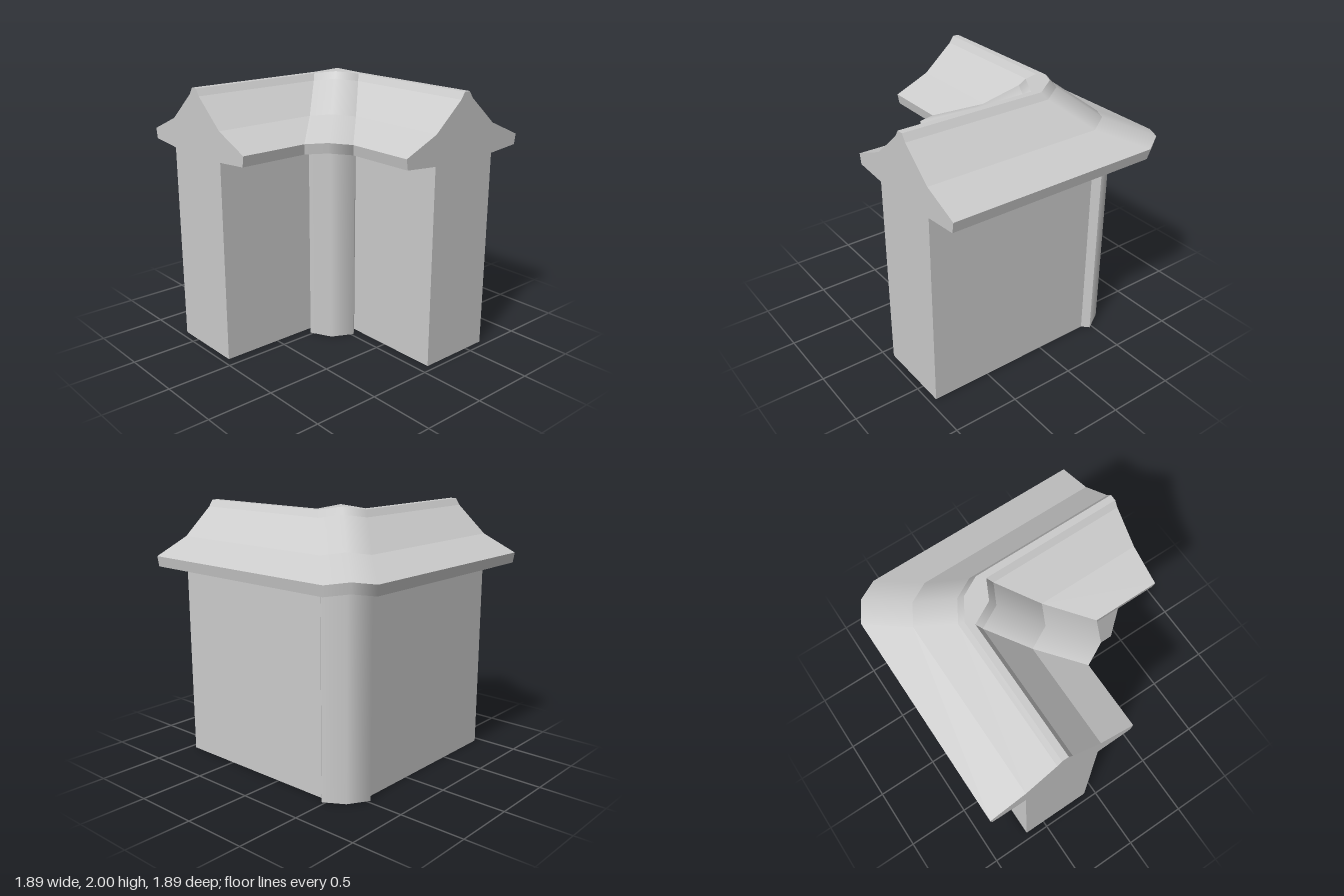
import * as THREE from 'three';

const END = 0.95, MID = 0.37, SPREAD = 0.24;

// Plan position of profile point (u, y) at one of five stations round the corner:
// 0 left end, 1 left mitre, 2 corner diagonal, 3 front mitre, 4 front end
function at([u, y], k) {
  if (k === 0) return [-END, y, -u];
  if (k === 1) return [u - SPREAD, y, -u];
  if (k === 3) return [u, y, SPREAD - u];
  if (k === 4) return [u, y, END];
  const d = u - (u > MID ? 0.09 : 0.16);
  return [d, y > 1.45 ? y + 0.025 : y, -d];
}

// Normal at a station: sharp across the profile, smooth round the corner
function normalAt(nu, ny, k, corner) {
  let x = k < 2 ? 0 : 1, z = k < 2 ? -1 : 0;
  if (k === 2) { x = Math.SQRT1_2; z = -Math.SQRT1_2; }
  if (corner && nu < 0) [x, z] = [-z, -x]; // inner side bulges outwards
  return [nu * x, ny, nu * z];
}

// Sweep a closed counter-clockwise profile through stations and cap chosen ends
function sweep(name, profile, from, to, caps, material) {
  const pos = [], nor = [];
  profile.forEach((a, i) => {
    const b = profile[(i + 1) % profile.length];
    const len = Math.hypot(b[0] - a[0], b[1] - a[1]);
    const nu = (b[1] - a[1]) / len, ny = (a[0] - b[0]) / len;
    for (let k = from; k < to; k++) {
      const corner = k === 1 || k === 2;
      for (const [p, s] of [[a, k], [b, k], [b, k + 1], [a, k], [b, k + 1], [a, k + 1]]) {
        pos.push(...at(p, s));
        nor.push(...normalAt(nu, ny, s, corner));
      }
    }
  });
  const contour = profile.map(([u, y]) => new THREE.Vector2(u, y));
  const faces = THREE.ShapeUtils.triangulateShape(contour, []);
  const h = Math.SQRT1_2;
  const capNormals = { 0: [-1, 0, 0], 1: [-h, 0, -h], 3: [h, 0, h], 4: [0, 0, 1] };
  for (const k of caps) {
    for (const f of faces) {
      for (const i of k < 2 ? [f[0], f[2], f[1]] : f) {
        pos.push(...at(profile[i], k));
        nor.push(...capNormals[k]);
      }
    }
  }
  const geometry = new THREE.BufferGeometry();
  geometry.setAttribute('position', new THREE.Float32BufferAttribute(pos, 3));
  geometry.setAttribute('normal', new THREE.Float32BufferAttribute(nor, 3));
  const mesh = new THREE.Mesh(geometry, material);
  mesh.name = name;
  return mesh;
}

const rectangle = (u0, u1, height) => [[u0, 0], [u1, 0], [u1, height], [u0, height]];

export function createModel() {
  const group = new THREE.Group();
  group.name = 'cornerWall';
  const material = new THREE.MeshStandardMaterial({ color: 0xcccccc });

  // Flared roof: soffit, eave edge, two-pitch slope and narrow ridge on each side
  const roof = [
    [0.08, 1.5], [0.67, 1.5], [0.93, 1.522], [0.943, 1.6], [0.667, 1.72], [0.432, 1.925], [0.398, 1.975],
    [0.348, 1.975], [0.315, 1.925], [0.08, 1.72], [-0.197, 1.6], [-0.184, 1.522],
  ];
  group.add(sweep('roof', roof, 0, 4, [0, 4], material));

  // Two wall wings meeting at the corner post
  const wall = rectangle(0.083, 0.668, 1.5);
  group.add(sweep('leftWall', wall, 0, 1, [0], material));
  group.add(sweep('frontWall', wall, 3, 4, [4], material));

  // Corner post standing slightly proud of both walls
  group.add(sweep('cornerPost', rectangle(0.02, 0.716, 1.53), 1, 3, [1, 3], material));
  return group;
}
